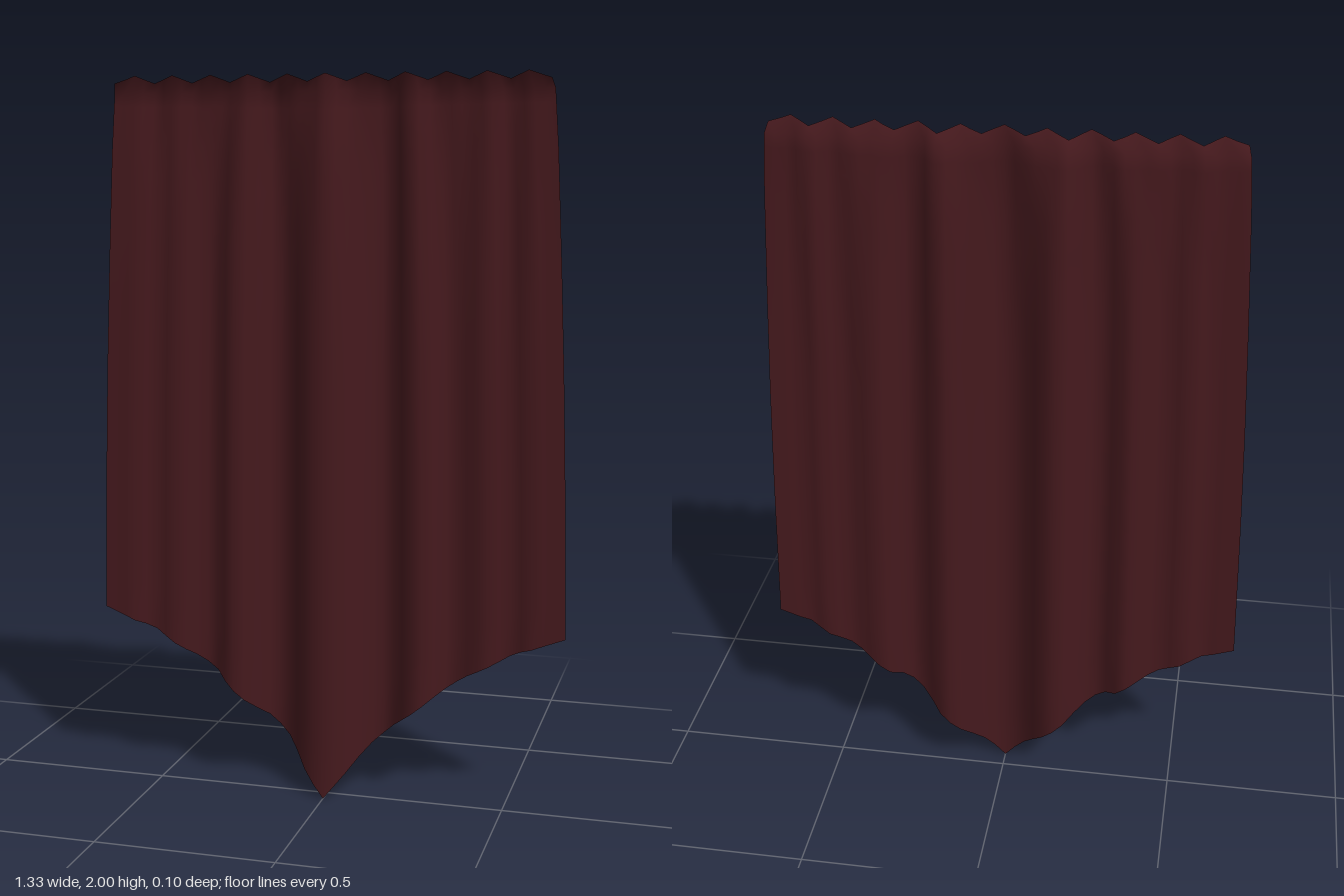
import * as THREE from 'three';

// piecewise-linear lookup through [position, value] pairs
function lookup(keys, p) {
  for (let k = 1; k < keys.length; k++) {
    const [a, va] = keys[k - 1], [b, vb] = keys[k];
    if (p <= b) return va + (vb - va) * Math.max(0, (p - a) / (b - a));
  }
  return keys[keys.length - 1][1];
}

// half width of the cloth by height
const HALF_WIDTH = [[0, 0.67], [0.5, 0.665], [0.9, 0.655], [1.2, 0.645], [1.5, 0.632], [1.8, 0.617], [1.955, 0.606], [2, 0.593]];
// lower edge height by distance from the middle (0 to 1)
const LOWER_EDGE = [[0, 0], [0.08, 0.065], [0.16, 0.135], [0.3, 0.22], [0.45, 0.305], [0.6, 0.375], [0.8, 0.45], [1, 0.5]];
// depth of the large folds by distance from the middle
const FOLDS = [[0, 0.047], [0.07, 0.038], [0.11, 0.012], [0.17, -0.036], [0.23, -0.049], [0.28, -0.042],
  [0.34, 0.005], [0.39, 0.021], [0.44, 0.015], [0.5, -0.028], [0.56, -0.032], [0.62, -0.008], [0.67, 0.006],
  [0.74, -0.008], [0.79, -0.022], [0.85, 0.01], [0.9, 0.003], [1, 0]];
// strength of the large folds by height
const FOLD_STRENGTH = [[0, 1], [1.5, 0.95], [1.8, 0.78], [1.955, 0.4], [2, 0.12]];

const COLS = 44, ROWS = 18;

export function createModel() {
  const group = new THREE.Group();
  group.name = 'hangingCloth';

  const geometry = new THREE.PlaneGeometry(2, 2, COLS, ROWS);
  const pos = geometry.attributes.position;
  for (let r = 0; r <= ROWS; r++) {
    for (let i = 0; i <= COLS; i++) {
      const n = i - COLS / 2, u = n / (COLS / 2), d = Math.abs(u);
      const pleat = Math.cos(n * Math.PI / 2);
      // scalloped top row, then a hem row, then rows spreading towards the lower edge
      const s = Math.pow(Math.max(0, r - 1) / (ROWS - 1), 1.3);
      const y = r === 0 ? 1.99 + 0.01 * pleat : THREE.MathUtils.lerp(1.955, lookup(LOWER_EDGE, d), s);
      // small gathers of varied length fade out below the hem
      const length = 0.25 + 0.45 * Math.abs(Math.sin(n * 2.3 + 0.6));
      const gather = Math.max(0, 1 - (1.955 - y) / length);
      const edge = Math.min(1, (1 - d) * 8);
      let z = lookup(FOLDS, d) * lookup(FOLD_STRENGTH, y);
      z += edge * gather * (0.009 * pleat - 0.01);
      if (r === 0) z += 0.018;
      pos.setXYZ(r * (COLS + 1) + i, u * lookup(HALF_WIDTH, y), y, z);
    }
  }
  geometry.computeVertexNormals();

  const cloth = new THREE.Mesh(geometry, new THREE.MeshStandardMaterial({ color: 0x45191d, side: THREE.DoubleSide }));
  cloth.name = 'cloth';
  group.add(cloth);
  return group;
}
